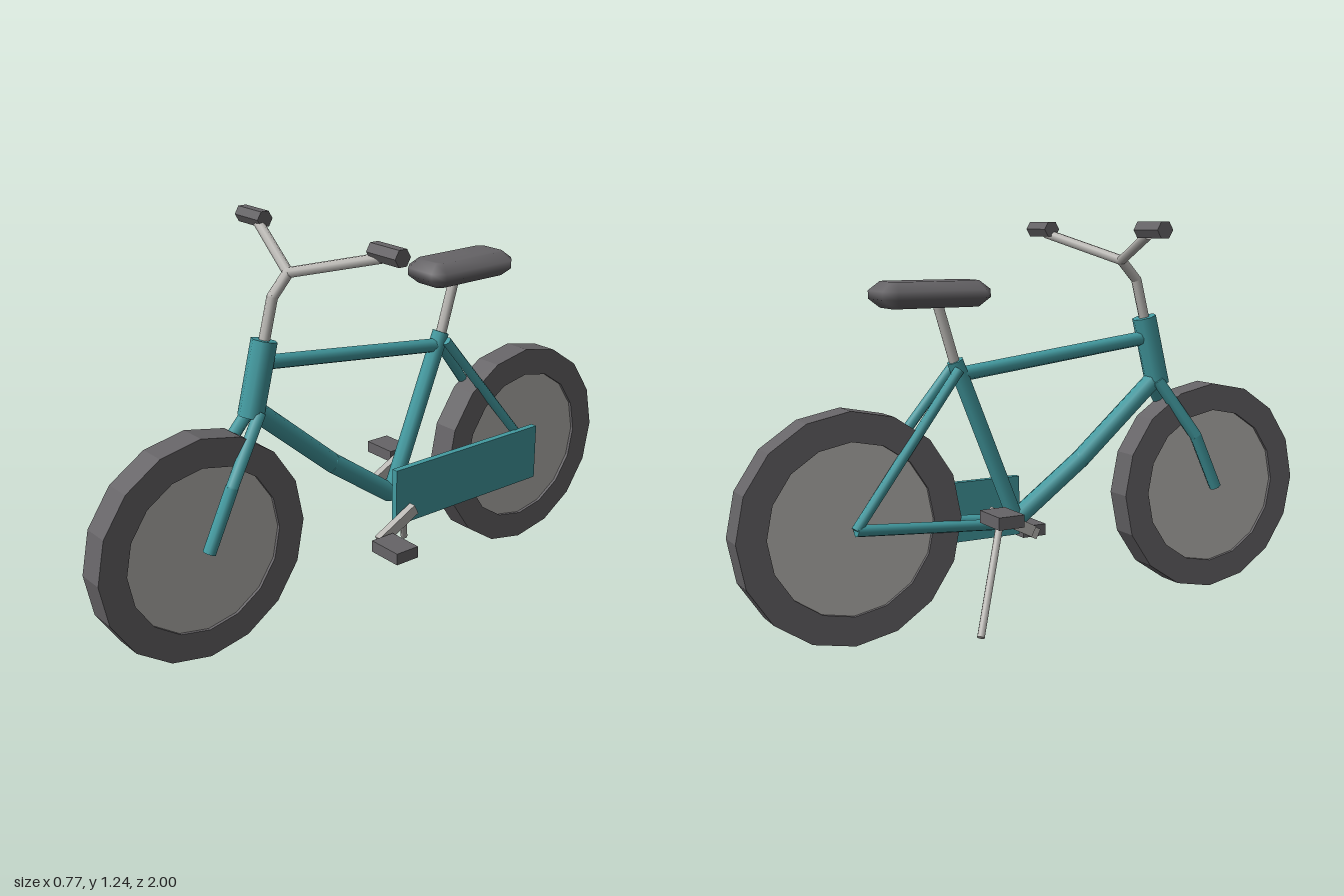
import * as THREE from 'three';
import { mergeVertices } from 'three/addons/utils/BufferGeometryUtils.js';

const paint = (name, color) => {
  const m = new THREE.MeshStandardMaterial({ color });
  m.name = name;
  return m;
};

export function createModel() {
  const teal = paint('teal frame', 0x439ba1);
  const metal = paint('light metal', 0xb9b7b3);
  const rubber = paint('dark rubber', 0x666467);
  const bike = new THREE.Group();
  bike.name = 'bicycle';

  const add = (name, geometry, material, x = 0, y = 0, z = 0) => {
    const mesh = new THREE.Mesh(geometry, material);
    mesh.name = name;
    mesh.position.set(x, y, z);
    bike.add(mesh);
    return mesh;
  };
  const flat = (geometry) => {
    const g = geometry.toNonIndexed();
    g.computeVertexNormals();
    return g;
  };
  const up = new THREE.Vector3(0, 1, 0);

  // Straight or bent tube: round rods with ball joints at the bends
  const tube = (name, material, radius, ...points) => {
    const p = points.map((a) => new THREE.Vector3(...a));
    for (let i = 0; i < p.length - 1; i++) {
      const dir = p[i + 1].clone().sub(p[i]);
      const mid = p[i].clone().add(p[i + 1]).multiplyScalar(0.5);
      const rod = add(name, new THREE.CylinderGeometry(radius, radius, dir.length(), 8), material, ...mid.toArray());
      rod.quaternion.setFromUnitVectors(up, dir.normalize());
      if (i > 0) add(name + 'Bend', new THREE.SphereGeometry(radius, 8, 6), material, ...points[i]);
    }
  };

  // Wheels: square-section tyre and a slightly recessed disc
  const section = [[0.26, -0.045], [0.35, -0.045], [0.35, 0.045], [0.26, 0.045], [0.26, -0.045]]
    .map(([r, h]) => new THREE.Vector2(r, h));
  for (const [name, z] of [['front', 0.65], ['rear', -0.65]]) {
    add(name + 'Tyre', flat(new THREE.LatheGeometry(section, 16)), rubber, 0, 0.353, z).rotation.z = Math.PI / 2;
    add(name + 'WheelDisc', flat(new THREE.CylinderGeometry(0.262, 0.262, 0.07, 16)), metal, 0, 0.353, z)
      .rotation.z = Math.PI / 2;
  }

  // Frame
  tube('headTube', teal, 0.04, [0, 0.933, 0.395], [0, 0.71, 0.451]);
  tube('topTube', teal, 0.023, [0, 0.865, 0.395], [0, 0.783, -0.28]);
  tube('downTube', teal, 0.031, [0, 0.73, 0.44], [0, 0.485, 0.153], [0, 0.315, -0.085]);
  tube('seatTube', teal, 0.027, [0, 0.825, -0.295], [0, 0.3, -0.082]);

  // Parts mirrored to both sides
  for (const s of [1, -1]) {
    tube('forkLeg', teal, 0.02, [s * 0.025, 0.725, 0.435], [s * 0.063, 0.535, 0.566], [s * 0.063, 0.353, 0.652]);
    tube('seatStay', teal, 0.016, [s * 0.028, 0.8, -0.295], [s * 0.065, 0.355, -0.65]);
    tube('chainStay', teal, 0.018, [s * 0.028, 0.305, -0.09], [s * 0.065, 0.355, -0.65]);
    tube('handlebar', metal, 0.016, [0, 1.118, 0.305], [s * 0.3, 1.202, 0.2]);
    const grip = flat(new THREE.CylinderGeometry(0.028, 0.028, 0.123, 6));
    add('grip', grip, rubber, s * 0.323, 1.216, 0.2).rotation.z = Math.PI / 2;

    // Crank arms point opposite ways, each with its pedal
    const crank = new THREE.BoxGeometry(0.024, 0.036, 0.163);
    add('crankArm', crank, metal, s * 0.114, 0.299 - s * 0.037, -0.091 + s * 0.074).rotation.x = 0.47;
    add('pedal', new THREE.BoxGeometry(0.122, 0.038, 0.085), rubber,
      s * 0.193, 0.3 - s * 0.07, -0.091 + s * 0.149);
  }

  // Stem, seat post and kickstand
  tube('stem', metal, 0.017, [0, 0.9, 0.403], [0, 1.055, 0.363], [0, 1.118, 0.305]);
  add('stemJoint', new THREE.SphereGeometry(0.017, 8, 6), metal, 0, 1.118, 0.305);
  tube('seatPost', metal, 0.017, [0, 0.8, -0.29], [0, 1.02, -0.357]);
  tube('kickstand', metal, 0.012, [-0.045, 0.305, -0.17], [-0.192, 0.016, -0.313]);

  // Chain guard
  add('chainGuard', new THREE.BoxGeometry(0.022, 0.191, 0.632), teal, 0.08, 0.339, -0.351);

  // Padded seat: octagon outline with chamfered edges and smooth normals
  const w = 0.057, l = 0.143, c = 0.016;
  const outline = new THREE.Shape([[w, -l + c], [w, l - c], [w - c, l], [-w + c, l],
    [-w, l - c], [-w, -l + c], [-w + c, -l], [w - c, -l]].map(([x, y]) => new THREE.Vector2(x, y)));
  let seat = new THREE.ExtrudeGeometry(outline, {
    depth: 0.024, bevelEnabled: true, bevelSegments: 1, bevelSize: 0.032, bevelThickness: 0.027,
  });
  seat.deleteAttribute('normal');
  seat.deleteAttribute('uv');
  seat = mergeVertices(seat, 1e-4);
  seat.computeVertexNormals();
  add('seat', seat, rubber, 0, 1.017, -0.375).rotation.x = -Math.PI / 2;

  return bike;
}
